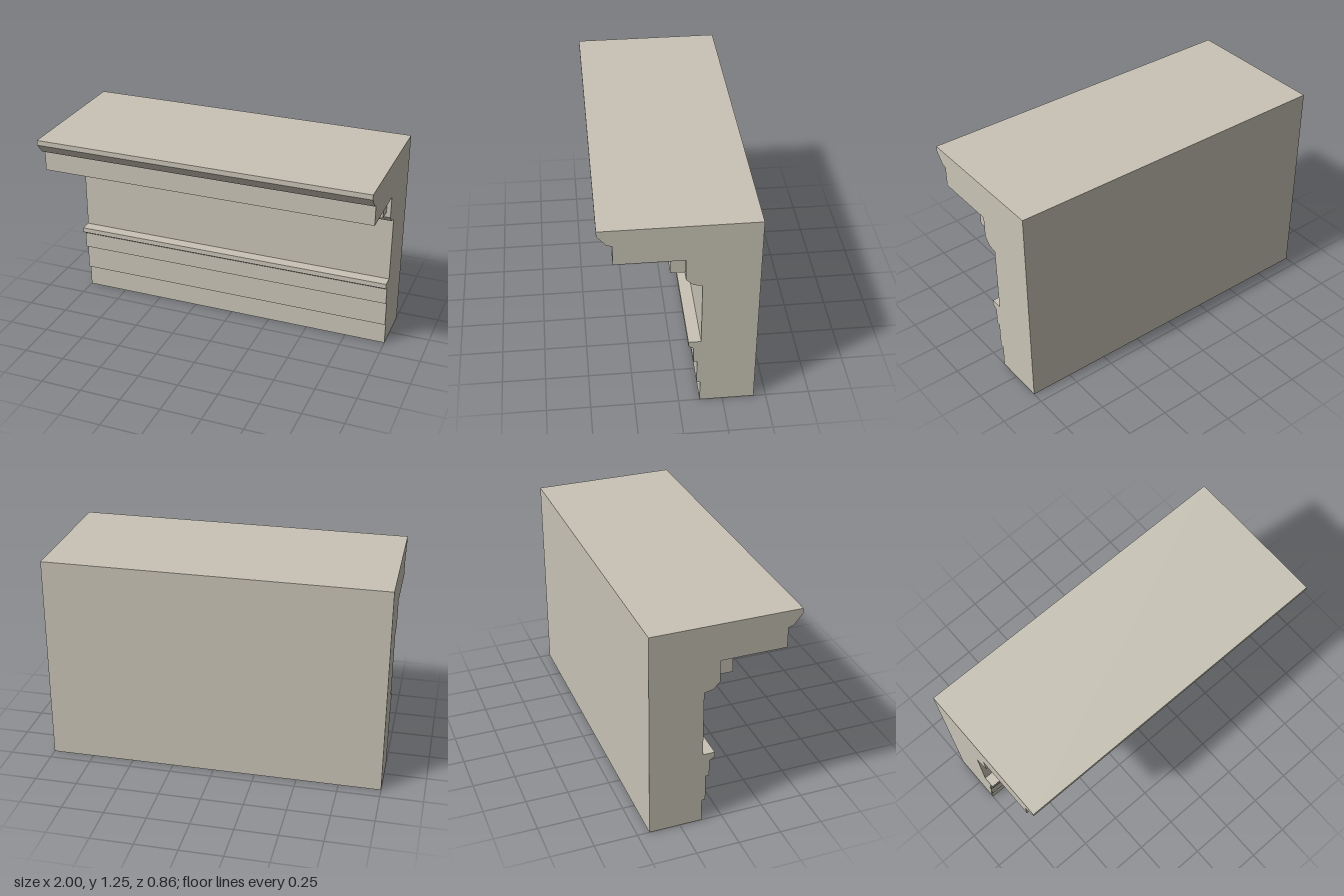
import * as THREE from 'three';

export function createModel() {
  const group = new THREE.Group();
  group.name = 'entablature';
  const stone = new THREE.MeshStandardMaterial({ color: 0xc8c3b5 });
  stone.name = 'stone';

  const length = 2, back = -0.43;

  // Extrudes a (z, y) outline along x
  function extrudeAlongX(name, points) {
    const shape = new THREE.Shape(points.map(([z, y]) => new THREE.Vector2(-z, y)));
    const geometry = new THREE.ExtrudeGeometry(shape, { depth: length, bevelEnabled: false });
    geometry.rotateY(Math.PI / 2).translate(-length / 2, 0, 0);
    const mesh = new THREE.Mesh(geometry, stone);
    mesh.name = name;
    group.add(mesh);
  }

  // Moulded profile: stepped architrave, frieze, bed mould, corona, crown
  extrudeAlongX('mouldedBody', [
    [back, 0], [-0.12, 0],
    [-0.12, 0.14], [-0.10, 0.14],
    [-0.10, 0.30], [-0.08, 0.30],
    [-0.08, 0.40], [-0.05, 0.42], [-0.05, 0.45], [-0.12, 0.45],
    [-0.12, 0.85], [-0.07, 0.86], [-0.03, 0.90],
    [-0.03, 1.03], [0.35, 1.03],
    [0.35, 1.15], [0.38, 1.16], [0.43, 1.22], [0.43, 1.25],
    [back, 1.25],
  ]);

  // Row of dentils under the corona
  const dentils = new THREE.Group();
  dentils.name = 'dentils';
  const count = 16, pitch = length / count;
  const dentilGeometry = new THREE.BoxGeometry(0.075, 0.10, 0.08);
  for (let i = 0; i < count; i++) {
    const dentil = new THREE.Mesh(dentilGeometry, stone);
    dentil.name = 'dentil';
    dentil.position.set(-length / 2 + (i + 0.5) * pitch, 0.98, 0.01);
    dentils.add(dentil);
  }
  group.add(dentils);

  return group;
}
